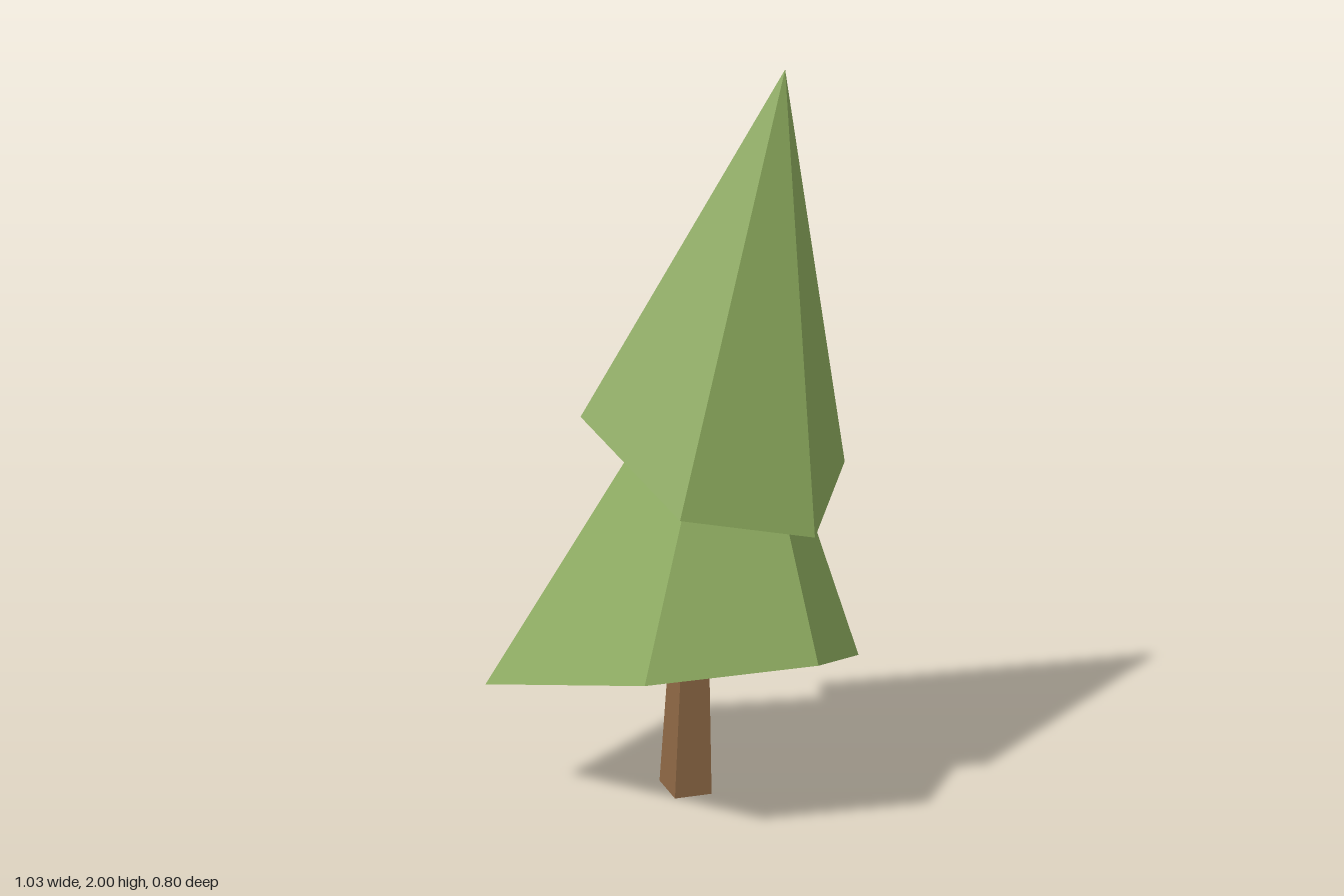
import * as THREE from 'three';

const V = (p) => new THREE.Vector3(...p);

// Unshared triangles give crisp facets
function facets(triangles, material, name) {
  const geometry = new THREE.BufferGeometry().setFromPoints(triangles.flat().map(V));
  geometry.computeVertexNormals();
  const mesh = new THREE.Mesh(geometry, material);
  mesh.name = name;
  return mesh;
}

// Open, leaning cone of foliage: rim runs counter-clockwise seen from above
function foliageTier(apex, rim, material, name) {
  return facets(rim.map((p, i) => [apex, p, rim[(i + 1) % rim.length]]), material, name);
}

// Square trunk lofted through leaning sections [y, centreX, centreZ, scale]
function trunk(sections, material) {
  const corners = [[-0.037, 0.072], [0.068, 0.052], [0.048, -0.073], [-0.067, -0.053]];
  const rings = sections.map(([y, cx, cz, s]) => corners.map(([x, z]) => [cx + x * s, y, cz + z * s]));
  const triangles = [];
  for (let r = 0; r < rings.length - 1; r++) {
    for (let i = 0; i < 4; i++) {
      const j = (i + 1) % 4;
      const [a, b, c, d] = [rings[r][i], rings[r][j], rings[r + 1][j], rings[r + 1][i]];
      triangles.push([a, b, c], [a, c, d]);
    }
  }
  // End caps
  const low = rings[0], top = rings[rings.length - 1];
  triangles.push([low[0], low[2], low[1]], [low[0], low[3], low[2]]);
  triangles.push([top[0], top[1], top[2]], [top[0], top[2], top[3]]);
  return facets(triangles, material, 'trunk');
}

export function createModel() {
  const green = new THREE.MeshStandardMaterial({ color: 0x8aa85c, side: THREE.DoubleSide });
  green.name = 'leaf green';
  const brown = new THREE.MeshStandardMaterial({ color: 0x8e6845 });
  brown.name = 'bark brown';

  const tree = new THREE.Group();
  tree.name = 'tree';

  tree.add(trunk([
    [0, 0.037, -0.052, 1],
    [0.36, 0.045, -0.045, 0.78],
    [0.9, 0.12, -0.04, 0.6],
  ], brown));

  tree.add(foliageTier([0.163, 1.43, -0.04], [
    [-0.515, 0.345, -0.025],
    [-0.12, 0.49, 0.395],
    [0.335, 0.51, 0.355],
    [0.515, 0.39, -0.015],
    [0.205, 0.52, -0.4],
    [-0.235, 0.525, -0.395],
  ], green, 'lowerFoliage'));

  tree.add(foliageTier([0.283, 2, 0.01], [
    [-0.245, 1.085, -0.05],
    [-0.02, 0.9, 0.31],
    [0.335, 0.83, 0.27],
    [0.47, 0.94, -0.045],
    [0.24, 0.88, -0.355],
    [-0.11, 0.935, -0.345],
  ], green, 'upperFoliage'));

  return tree;
}
